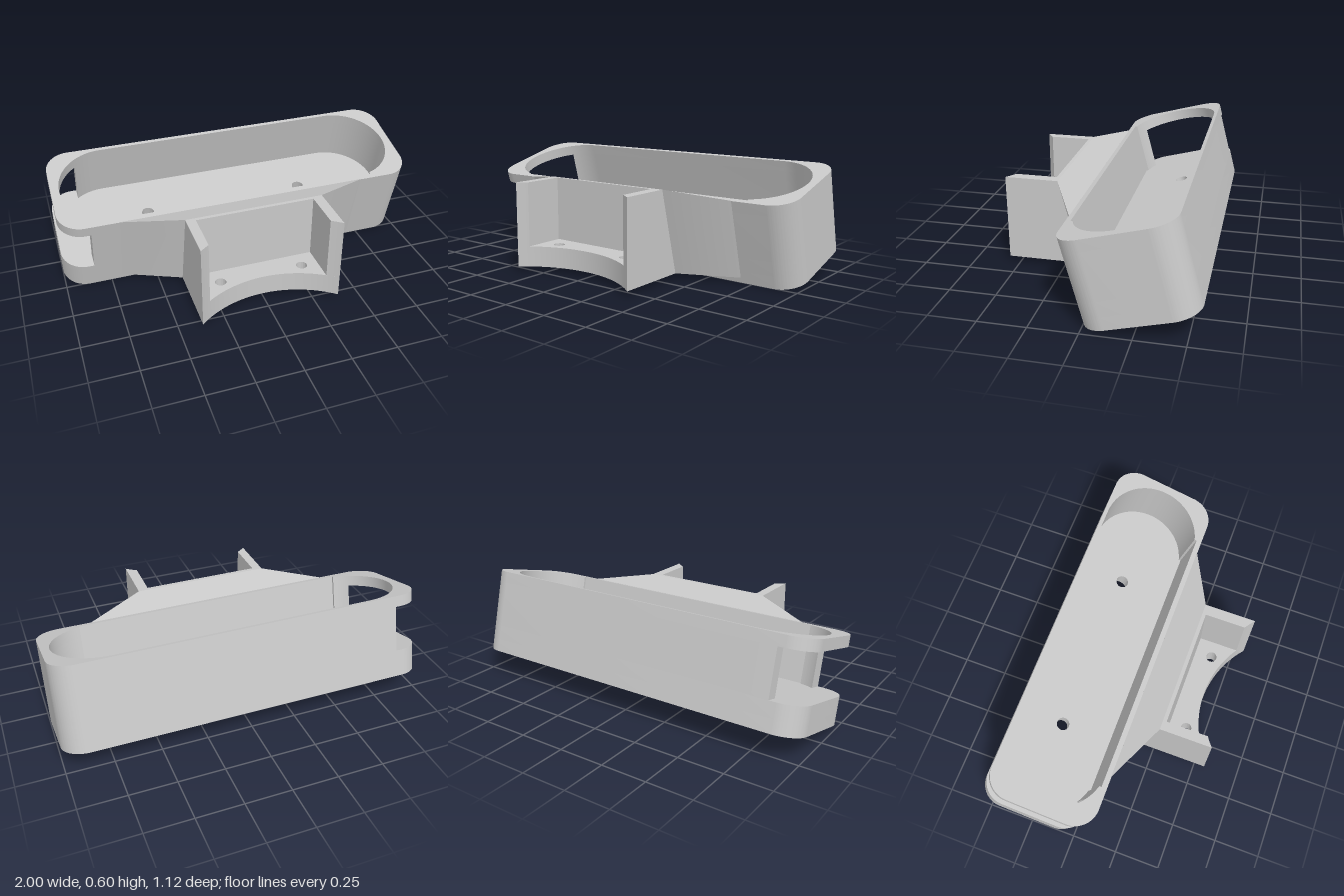
import * as THREE from 'three';
import { toCreasedNormals } from 'three/addons/utils/BufferGeometryUtils.js';

const W = 1, D = 0.583, R = 0.13;            // tray half width, depth, corner radius
const CX = 0.69, CU = 0.298, CR = 0.265;     // cavity end centres and radius
const NOTCH = 0.84;                          // side window starts at x = -NOTCH
const POCKET = 0.76, POCKET_U = 0.03;        // squared front edge of the cavity

export function createModel() {
  const model = new THREE.Group();
  model.name = 'mountedTray';
  const grey = new THREE.MeshStandardMaterial({ color: 0xc8c8c8 });
  grey.name = 'plain grey';

  const add = (parent, name, geometry) => {
    const mesh = new THREE.Mesh(toCreasedNormals(geometry, 0.5), grey);
    mesh.name = name;
    parent.add(mesh);
  };
  const extrude = (shape, from, to) =>
    new THREE.ExtrudeGeometry(shape, { depth: to - from, bevelEnabled: false, curveSegments: 24 })
      .translate(0, 0, from);
  const circle = (x, y, r) => new THREE.Path().absarc(x, y, r, 0, Math.PI * 2, true);

  // Tray: drawn in x and depth, extruded upward, then tilted back 15 degrees
  const tray = new THREE.Group();
  tray.name = 'tray';
  tray.rotation.x = -THREE.MathUtils.degToRad(75);
  tray.position.z = 0.005;
  model.add(tray);

  const outline = () => {
    const s = new THREE.Shape();
    s.absarc(W - R, R, R, -Math.PI / 2, 0, false);
    s.absarc(W - R, D - R, R, 0, Math.PI / 2, false);
    s.absarc(-W + R, D - R, R, Math.PI / 2, Math.PI, false);
    s.absarc(-W + R, R, R, Math.PI, Math.PI * 1.5, false);
    return s;
  };
  const pocketAngle = Math.acos((POCKET - CX) / CR);
  const notchAngle = Math.acos((NOTCH - CX) / CR);

  // Right end of the cavity and its squared front edge, clockwise
  const cavityRight = (p) => {
    p.absarc(CX, CU, CR, Math.PI / 2, -pocketAngle, true);
    p.lineTo(POCKET, POCKET_U);
    p.lineTo(-POCKET, POCKET_U);
  };

  // Floor with stepped screw holes
  [[0, 0.07, 0.06], [0.07, 0.15, 0.035]].forEach(([from, to, r], i) => {
    const s = outline();
    for (const x of [-0.47, 0.467]) s.holes.push(circle(x, 0.312, r));
    add(tray, i ? 'trayFloorUpper' : 'trayFloorLower', extrude(s, from, to));
  });

  // Walls, open at one end
  const wall = new THREE.Shape();
  wall.moveTo(-NOTCH, 0);
  wall.lineTo(W - R, 0);
  wall.absarc(W - R, R, R, -Math.PI / 2, 0, false);
  wall.absarc(W - R, D - R, R, 0, Math.PI / 2, false);
  wall.lineTo(-NOTCH, D);
  wall.absarc(-CX, CU, CR, Math.PI - notchAngle, Math.PI / 2, true);
  cavityRight(wall);
  wall.absarc(-CX, CU, CR, Math.PI + pocketAngle, Math.PI + notchAngle, true);
  add(tray, 'trayWalls', extrude(wall, 0.15, 0.4));

  // Closed rim
  const rim = outline();
  const opening = new THREE.Path();
  cavityRight(opening);
  opening.absarc(-CX, CU, CR, Math.PI + pocketAngle, Math.PI / 2, true);
  rim.holes.push(opening);
  add(tray, 'trayRim', extrude(rim, 0.4, 0.46));

  // Bracket in front of the tray
  const bracket = new THREE.Group();
  bracket.name = 'bracket';
  bracket.position.x = -0.002;
  model.add(bracket);
  const BX = 0.378, Y0 = 0.028, Y1 = 0.49, BACK = 0.295, FLOOR = 0.14;
  const arcZ = 1.01, arcR = 0.588;

  // Tapered web: profile corners as [y, z, half width], mirrored across x
  const corners = [[Y0, 0.012, 0.692], [Y0, 0.152, BX], [Y1, 0.275, BX], [0.445, 0.122, 0.692]];
  const points = [];
  for (const side of [-1, 1]) for (const [y, z, x] of corners) points.push(side * x, y, z);
  const index = [0, 1, 2, 0, 2, 3, 4, 6, 5, 4, 7, 6];
  for (let i = 0; i < 4; i++) {
    const j = (i + 1) % 4;
    index.push(i, i + 4, j + 4, i, j + 4, j);
  }
  const web = new THREE.BufferGeometry();
  web.setAttribute('position', new THREE.Float32BufferAttribute(points, 3));
  web.setIndex(index);
  add(bracket, 'taperedWeb', web);

  // Back plate: wedge profile in z and y, run across x
  const wedge = new THREE.Shape();
  wedge.moveTo(0.152, Y0);
  wedge.lineTo(BACK, Y0);
  wedge.lineTo(BACK, Y1);
  wedge.lineTo(0.275, Y1);
  add(bracket, 'backPlate', extrude(wedge, -BX, BX).rotateY(-Math.PI / 2));

  // Plan outline from the back plate to the concave front, between x0 and x1
  const plan = (x0, x1) => {
    const s = new THREE.Shape();
    const angle = (x) => -Math.acos(x / arcR);
    s.moveTo(x0, BACK);
    s.lineTo(x1, BACK);
    s.absarc(0, arcZ, arcR, angle(x1), angle(x0), true);
    return s;
  };
  const upright = (shape, y0, y1) => extrude(shape, -y1, -y0).rotateX(Math.PI / 2);

  const base = plan(-BX, BX);
  for (const x of [-0.23, 0.23]) base.holes.push(circle(x, 0.392, 0.03));
  add(bracket, 'bracketFloor', upright(base, Y0, FLOOR));
  add(bracket, 'rightCheek', upright(plan(-BX, -0.327), FLOOR, Y1));
  add(bracket, 'leftCheek', upright(plan(0.321, BX), FLOOR, Y1));

  return model;
}
